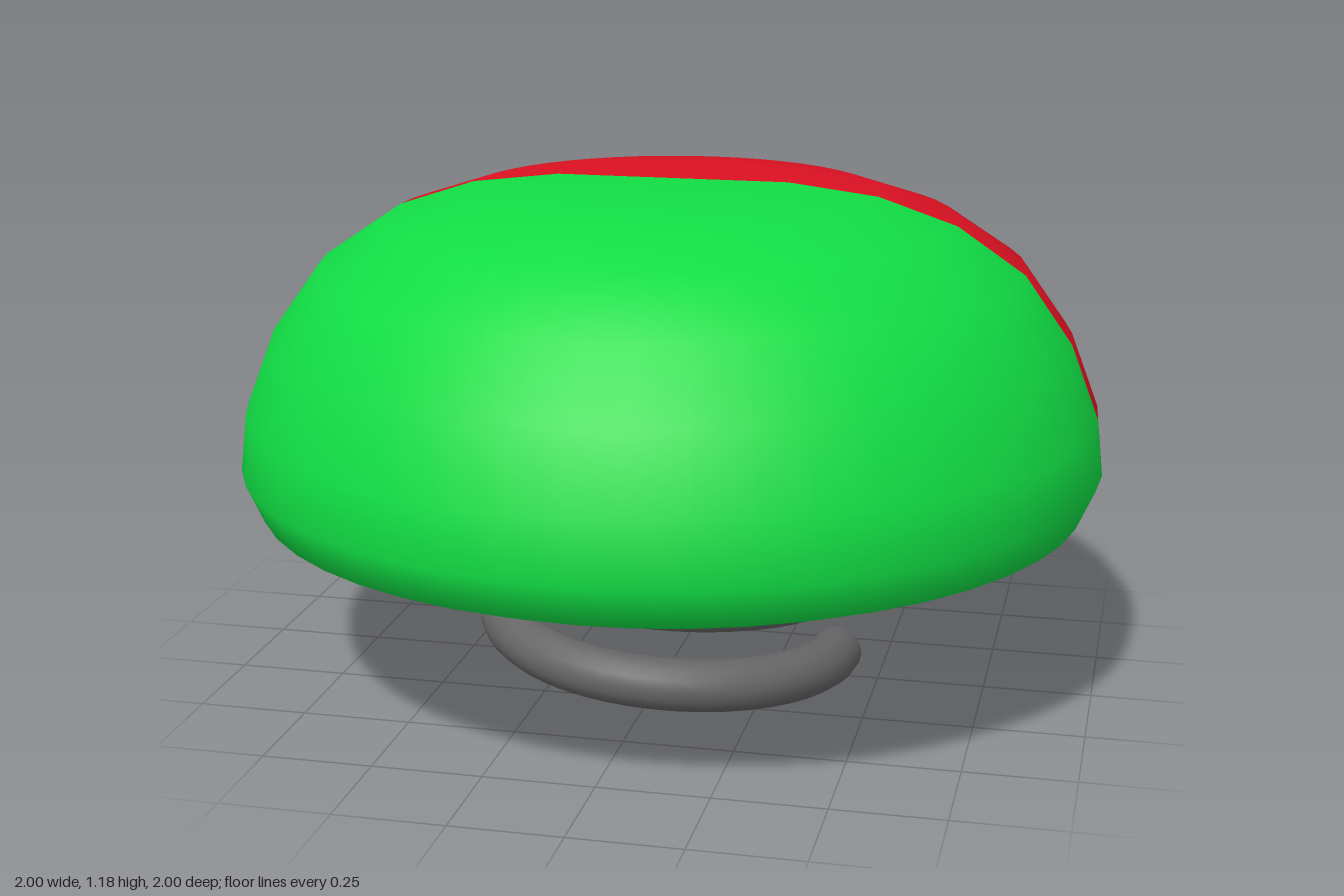
import * as THREE from 'three';

const SPRING_RADIUS = 0.4, WIRE = 0.06, TURNS = 2, PITCH = 0.19;

class Helix extends THREE.Curve {
  getPoint(t, target = new THREE.Vector3()) {
    const a = t * TURNS * Math.PI * 2;
    return target.set(SPRING_RADIUS * Math.cos(a), 0.065 + PITCH * TURNS * t, SPRING_RADIUS * Math.sin(a));
  }
}

function addMesh(parent, name, geometry, color) {
  const mesh = new THREE.Mesh(geometry, new THREE.MeshStandardMaterial({ color }));
  mesh.name = name;
  parent.add(mesh);
  return mesh;
}

export function createModel() {
  const model = new THREE.Group();
  model.name = 'springButton';

  // Cap: one rounded profile from the flat underside to the crown, swept as two coloured halves
  const profile = [
    [0, 0.41], [0.86, 0.41], [0.96, 0.45], [1, 0.54], [0.985, 0.67], [0.92, 0.84],
    [0.81, 0.995], [0.655, 1.1], [0.475, 1.16], [0.27, 1.185], [0, 1.185],
  ].map(([r, y]) => new THREE.Vector2(r, y));
  const cap = new THREE.Group();
  cap.name = 'cap';
  model.add(cap);
  addMesh(cap, 'frontHalf', new THREE.LatheGeometry(profile, 24, -Math.PI / 2, Math.PI), 0x11dd44);
  addMesh(cap, 'backHalf', new THREE.LatheGeometry(profile, 24, Math.PI / 2, Math.PI), 0xdd1122);

  // Coil spring with a disc closing each end of the wire
  const spring = new THREE.Group();
  spring.name = 'spring';
  model.add(spring);
  const helix = new Helix();
  addMesh(spring, 'coil', new THREE.TubeGeometry(helix, 96, WIRE, 16, false), 0x666666);
  for (const [name, t, sign] of [['lowerEnd', 0, -1], ['upperEnd', 1, 1]]) {
    const end = addMesh(spring, name, new THREE.CircleGeometry(WIRE, 16), 0x666666);
    end.position.copy(helix.getPoint(t));
    end.quaternion.setFromUnitVectors(new THREE.Vector3(0, 0, 1), helix.getTangent(t).multiplyScalar(sign));
  }
  return model;
}
